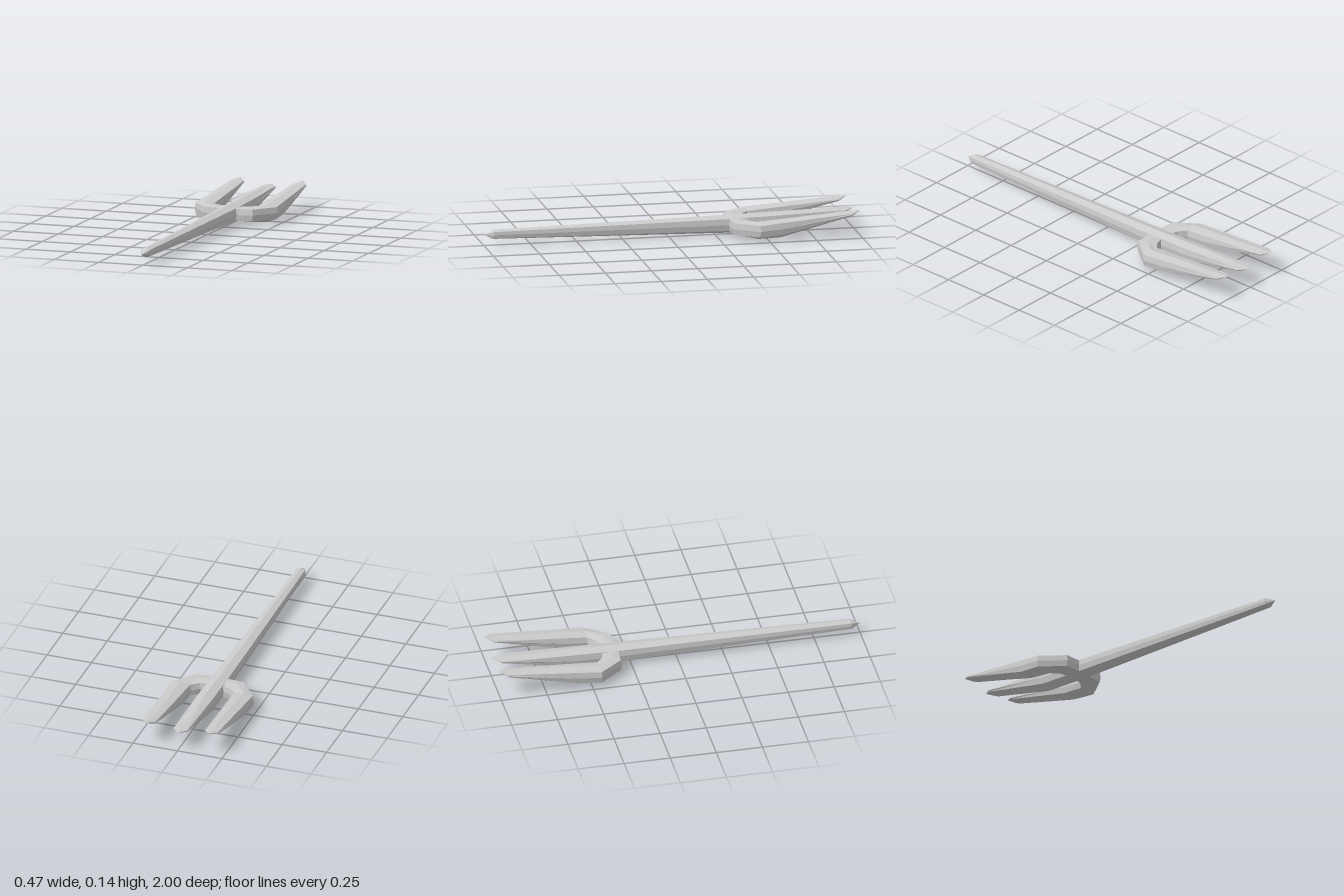
import * as THREE from 'three';

const material = new THREE.MeshStandardMaterial({ color: 0xcccccc, flatShading: true });

// Eight-sided cross-section. o / i = outer and inner [x, z]; y = [ridge, upper edge, lower edge, keel]
function ring({ o, i, y: [ridge, upper, lower, keel] }) {
  const at = (t, y) => [i[0] + (o[0] - i[0]) * t, y, i[1] + (o[1] - i[1]) * t];
  const mid = (upper + lower) / 2;
  return [
    at(1, mid), at(0.95, upper), at(0.5, ridge), at(0.05, upper),
    at(0, mid), at(0.05, lower), at(0.5, keel), at(0.95, lower),
  ];
}

// Skin a row of cross-sections; side = -1 mirrors the result across x
function loft(name, stations, side = 1) {
  const rings = stations.map(ring);
  const positions = [];
  const tri = (...p) => {
    if (side < 0) p.reverse();
    const [a, b, c] = p.map(([x, y, z]) => new THREE.Vector3(x * side, y, z));
    const area = b.clone().sub(a).cross(c.clone().sub(a)).length();
    if (area > 1e-8) positions.push(...a, ...b, ...c);
  };
  for (let s = 0; s < rings.length - 1; s++) {
    for (let j = 0; j < 8; j++) {
      const k = (j + 1) % 8;
      const a = rings[s][j], b = rings[s][k], c = rings[s + 1][k], d = rings[s + 1][j];
      tri(a, d, c);
      tri(a, c, b);
    }
  }
  const geometry = new THREE.BufferGeometry();
  geometry.setAttribute('position', new THREE.Float32BufferAttribute(positions, 3));
  geometry.computeVertexNormals();
  const mesh = new THREE.Mesh(geometry, material);
  mesh.name = name;
  return mesh;
}

export function createModel() {
  const group = new THREE.Group();
  group.name = 'trident';

  // Tapered shaft running into the middle prong: [z, half width, heights]
  const shaft = [
    [1, 0, [0.058, 0.058, 0.058, 0.058]],
    [0.95, 0.027, [0.084, 0.076, 0.042, 0.034]],
    [-0.32, 0.049, [0.104, 0.09, 0.025, 0.006]],
    [-0.57, 0.05, [0.11, 0.096, 0.026, 0]],
    [-0.95, 0.042, [0.111, 0.107, 0.095, 0.088]],
    [-1, 0, [0.111, 0.111, 0.111, 0.111]],
  ].map(([z, w, y]) => ({ o: [w, z], i: [-w, z], y }));
  group.add(loft('shaftAndMiddleProng', shaft));

  // Side prong: leaves the shaft sideways, bends, then sweeps back and up to a point
  const prong = [
    { o: [0.02, -0.315], i: [0.02, -0.405], y: [0.09, 0.088, 0.025, 0.021] },
    { o: [0.137, -0.322], i: [0.08, -0.42], y: [0.094, 0.088, 0.025, 0.013] },
    { o: [0.234, -0.45], i: [0.119, -0.45], y: [0.098, 0.088, 0.025, 0.006] },
    { o: [0.229, -0.57], i: [0.122, -0.57], y: [0.107, 0.097, 0.032, 0.01] },
    { o: [0.215, -0.95], i: [0.136, -0.95], y: [0.132, 0.127, 0.115, 0.108] },
    { o: [0.175, -1], i: [0.175, -1], y: [0.137, 0.137, 0.137, 0.137] },
  ];
  group.add(loft('leftProng', prong, 1), loft('rightProng', prong, -1));

  return group;
}
